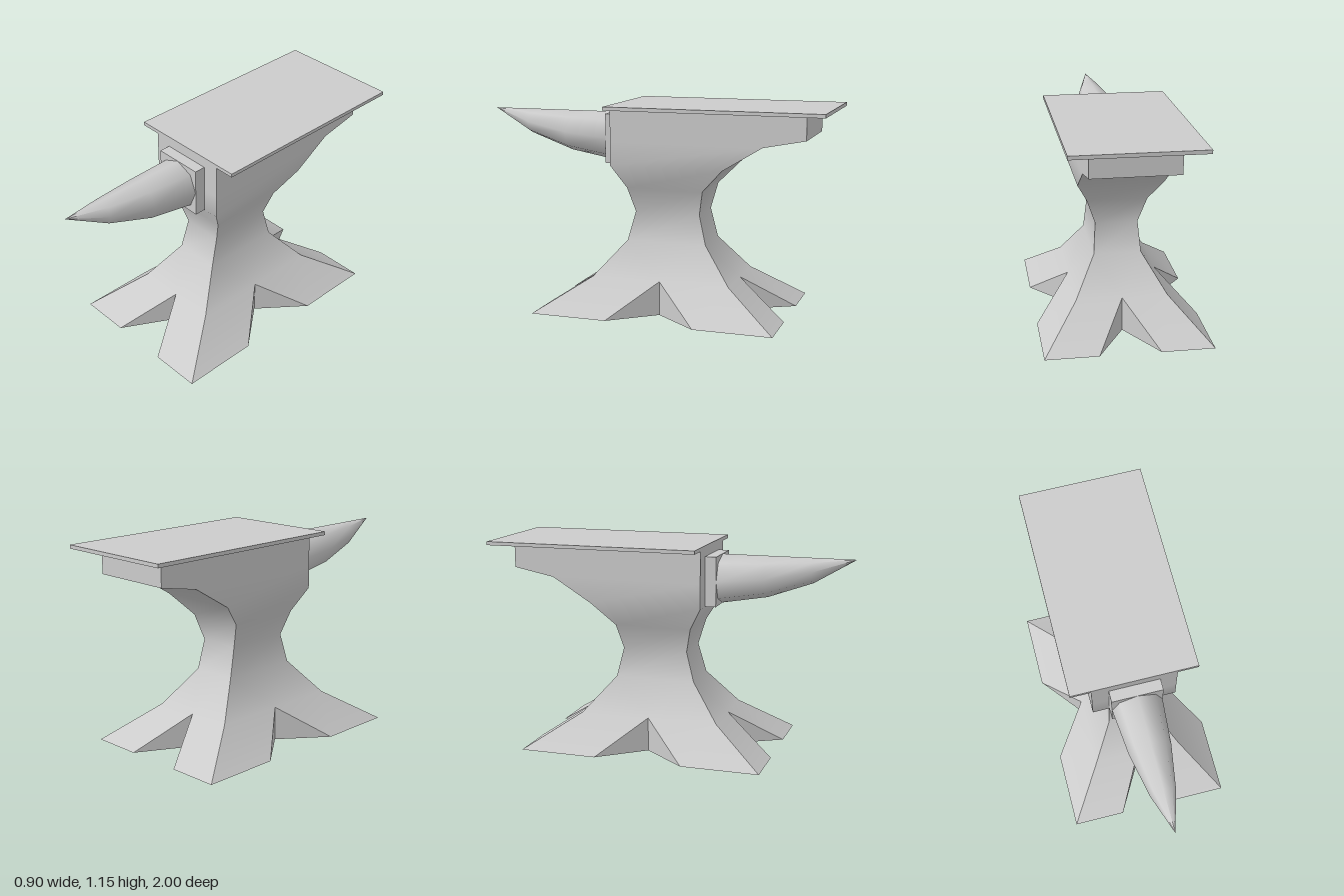
import * as THREE from 'three';
import { toCreasedNormals } from 'three/addons/utils/BufferGeometryUtils.js';

const material = new THREE.MeshStandardMaterial({ color: 0xcccccc });
const shellMaterial = new THREE.MeshStandardMaterial({ color: 0xcccccc, side: THREE.DoubleSide });

function box(name, w, h, d, x, y, z) {
  const mesh = new THREE.Mesh(new THREE.BoxGeometry(w, h, d), material);
  mesh.position.set(x, y, z);
  mesh.name = name;
  return mesh;
}

// Body: rectangular cross-sections as [y, half width, front z, back z]
const SECTIONS = [
  [0, 0.45, 0.59, -0.775],
  [0.19, 0.25, 0.30, -0.485],
  [0.385, 0.13, 0.135, -0.32],
  [0.55, 0.117, 0.09, -0.28],
  [0.69, 0.165, 0.125, -0.31],
  [0.82, 0.23, 0.2, -0.435],
  [0.955, 0.23, 0.2, -0.655],
  [1.0, 0.23, 0.2, -0.885],
  [1.135, 0.23, 0.2, -0.885],
];

function bodyGeometry() {
  const positions = [];
  const tri = (...pts) => pts.forEach((p) => positions.push(p.x, p.y, p.z));
  const quad = (a, b, c, d) => { tri(a, b, c); tri(a, c, d); };
  const rings = SECTIONS.map(([y, w, f, b]) =>
    [[w, f], [w, b], [-w, b], [-w, f]].map(([x, z]) => new THREE.Vector3(x, y, z)));

  for (let side = 0; side < 4; side++) {
    const next = (side + 1) % 4;

    // Feet: a notch in the middle of each side separates two feet
    const p = rings[0][side], q = rings[0][next];
    const P = rings[1][side], Q = rings[1][next];
    const a = p.clone().lerp(q, 0.318);
    const b = q.clone().lerp(p, 0.318);
    const peak = P.clone().lerp(Q, 0.5);
    const root = peak.clone().setY(0);
    quad(p, a, peak, P);
    quad(b, q, Q, peak);
    tri(P, peak, rings[2][side]);
    tri(peak, Q, rings[2][next]);
    tri(peak, rings[2][next], rings[2][side]);
    tri(a, root, peak);
    tri(root, b, peak);

    // Waist and head
    for (let i = 2; i < rings.length - 1; i++) {
      quad(rings[i][side], rings[i][next], rings[i + 1][next], rings[i + 1][side]);
    }
  }
  const geometry = new THREE.BufferGeometry();
  geometry.setAttribute('position', new THREE.Float32BufferAttribute(positions, 3));
  return toCreasedNormals(geometry, 0.75);
}

// Horn: eight-sided taper whose rings all touch one straight top line
function hornGeometry() {
  const profile = [[0.137, 0.26], [0.114, 0.52], [0.069, 0.77], [0, 1]]
    .map(([r, z]) => new THREE.Vector2(r, z));
  const geometry = new THREE.LatheGeometry(profile, 8).rotateX(Math.PI / 2);
  const pos = geometry.attributes.position;
  for (let i = 0; i < pos.count; i++) {
    pos.setY(i, pos.getY(i) + 1.094 - profile[i % profile.length].x);
  }
  geometry.deleteAttribute('uv');
  return toCreasedNormals(geometry, 1.0);
}

export function createModel() {
  const group = new THREE.Group();
  group.name = 'anvil';

  const body = new THREE.Mesh(bodyGeometry(), shellMaterial);
  body.name = 'body';
  const horn = new THREE.Mesh(hornGeometry(), material);
  horn.name = 'horn';

  group.add(
    body,
    horn,
    box('hornBlock', 0.277, 0.275, 0.07, 0, 0.957, 0.227),
    box('facePlate', 0.686, 0.02, 1.2, 0, 1.144, -0.4),
  );
  return group;
}
